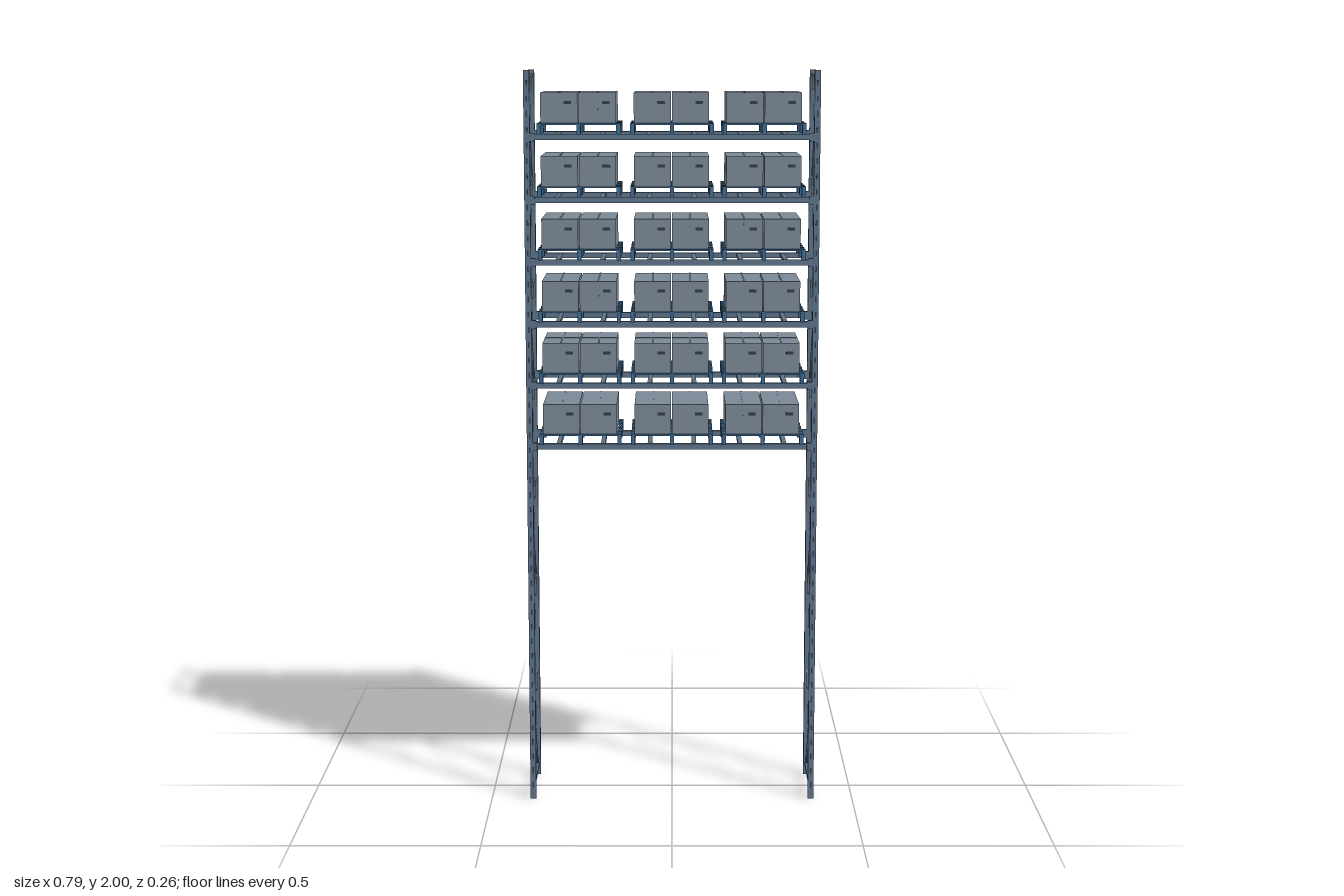
import * as THREE from 'three';
import { mergeGeometries } from 'three/addons/utils/BufferGeometryUtils.js';

const mat = (color) => new THREE.MeshStandardMaterial({ color, flatShading: true });
const steel = mat(0x5c7389), blue = mat(0x3d6b94), card = mat(0x7a8896), dark = mat(0x2c3a48);

const POST_X = 0.385, POST_Z = 0.109, LEVELS = 6, FIRST = 1.0, STEP = 0.1665;

function box(w, h, d, x, y, z) {
  return new THREE.BoxGeometry(w, h, d).translate(x, y, z);
}

function part(name, material, geometries) {
  const mesh = new THREE.Mesh(mergeGeometries(geometries), material);
  mesh.name = name;
  return mesh;
}

// thin square bar between two points in the plane of a side frame
function brace(z0, y0, z1, y1) {
  const dz = z1 - z0, dy = y1 - y0;
  const g = new THREE.BoxGeometry(0.004, Math.hypot(dz, dy), 0.003);
  return g.rotateX(Math.atan2(dz, dy)).translate(0, (y0 + y1) / 2, (z0 + z1) / 2);
}

// two posts with slots, end ties and diagonal bracing
function sideFrame() {
  const frame = new THREE.Group();
  const posts = [], slots = [], braces = [];
  for (const s of [-1, 1]) {
    posts.push(box(0.016, 2, 0.015, 0, 1, s * POST_Z));
    for (let i = 0; i < 48; i++) {
      slots.push(box(0.004, 0.016, 0.001, 0, 0.04 + i * 0.041, s * (POST_Z + 0.0075)));
    }
  }
  const z = 0.104, y0 = 0.03, rise = 0.2793;
  for (let i = 0; i < 7; i++) {
    const a = y0 + i * rise, b = a + rise;
    braces.push(brace(z, a, -z, b));
    if (i % 2 === 0) braces.push(brace(-z, a, z, b));
  }
  const ties = [y0, 1.985].map((y) => box(0.008, 0.008, 0.21, 0, y, 0));
  frame.add(part('posts', steel, posts), part('postSlots', dark, slots),
    part('diagonalBraces', steel, braces), part('frameTies', steel, ties));
  return frame;
}

// beams, end connectors and the bars that carry the pallets
function shelf() {
  const group = new THREE.Group();
  const beams = [], ends = [], bars = [];
  for (const s of [-1, 1]) {
    beams.push(box(0.75, 0.015, 0.013, 0, -0.0075, s * 0.108));
    for (const e of [-1, 1]) ends.push(box(0.012, 0.022, 0.016, e * 0.371, -0.008, s * POST_Z));
  }
  for (const px of [-0.247, 0, 0.245]) {
    for (const o of [-0.06, 0.06]) bars.push(box(0.012, 0.01, 0.206, px + o, -0.0065, 0));
  }
  group.add(part('beams', steel, beams), part('beamConnectors', steel, ends),
    part('supportBars', steel, bars));
  return group;
}

// slatted pallet on nine blocks
function pallet() {
  const g = [];
  for (const z of [-0.12, -0.061, 0, 0.061, 0.12]) g.push(box(0.221, 0.004, 0.024, 0, 0.027, z));
  for (const x of [-0.105, 0, 0.105]) {
    g.push(box(0.011, 0.004, 0.264, x, 0.0235, 0));
    for (const z of [-0.12, 0, 0.12]) g.push(box(0.011, 0.022, 0.022, x, 0.011, z));
  }
  return part('pallet', blue, g);
}

// four cartons with a tape strip over the top and a label on the front
function cartons() {
  const group = new THREE.Group();
  const bodies = [], tapes = [], labels = [];
  const w = 0.098, h = 0.08, d = 0.121, base = 0.029;
  for (const x of [-0.052, 0.049]) {
    for (const z of [-0.0625, 0.0615]) {
      bodies.push(box(w, h, d, x, base + h / 2, z));
      tapes.push(box(0.004, h + 0.001, d + 0.001, x, base + h / 2, z));
      labels.push(box(0.02, 0.008, 0.001, x + 0.023, base + 0.054, z + d / 2 + 0.0003));
    }
  }
  group.add(part('cartonBodies', card, bodies), part('cartonTape', card, tapes),
    part('cartonLabels', dark, labels));
  return group;
}

export function createModel() {
  const model = new THREE.Group();
  model.name = 'palletRack';

  for (const s of [-1, 1]) {
    const frame = sideFrame();
    frame.name = s > 0 ? 'leftFrame' : 'rightFrame';
    frame.position.x = s * POST_X;
    model.add(frame);
  }

  for (let i = 0; i < LEVELS; i++) {
    const level = shelf();
    level.name = 'shelf' + (i + 1);
    level.position.y = FIRST + i * STEP;
    for (const x of [-0.247, 0, 0.245]) {
      const load = new THREE.Group();
      load.name = 'loadedPallet';
      load.add(pallet(), cartons());
      load.position.x = x;
      level.add(load);
    }
    model.add(level);
  }
  return model;
}
